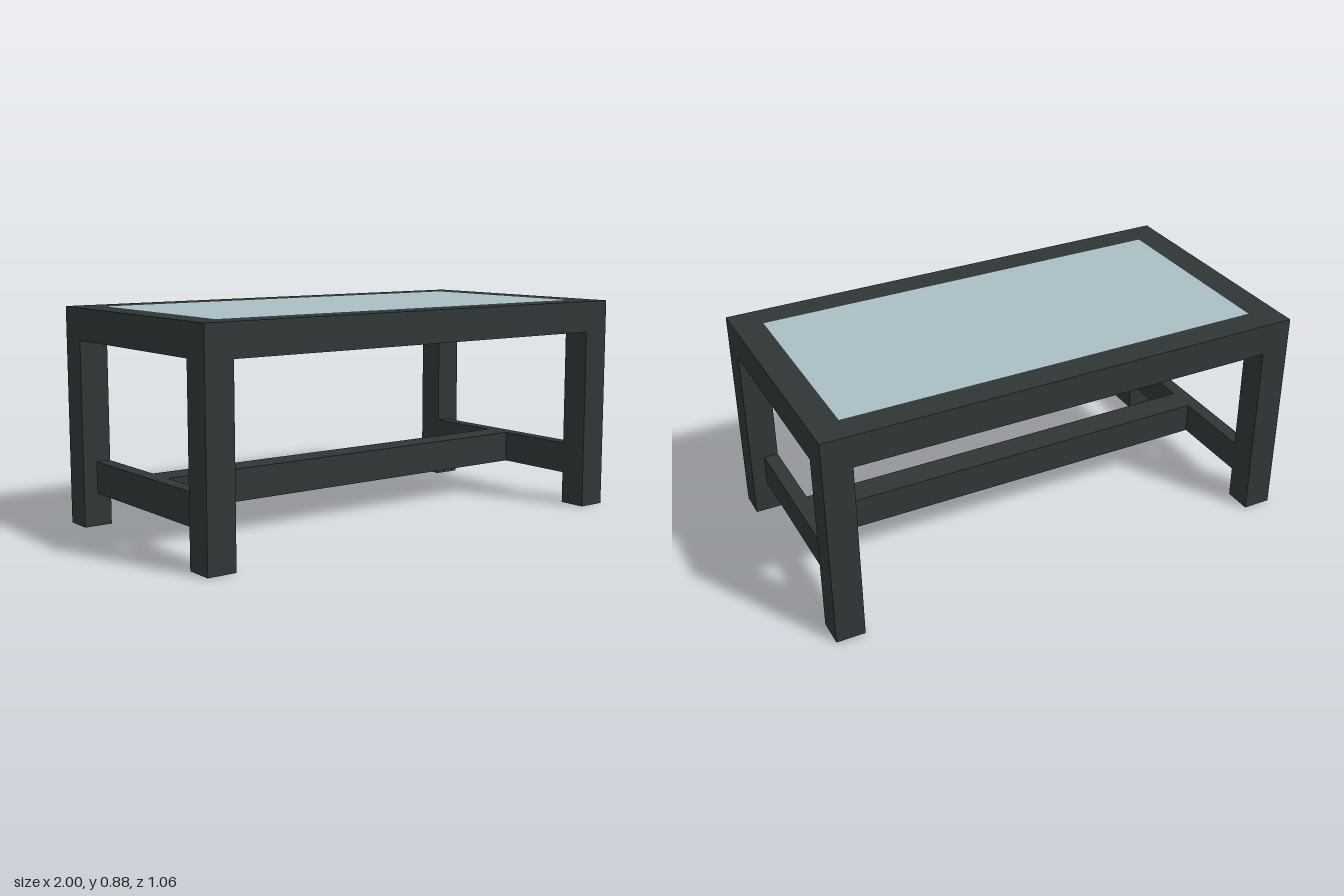
import * as THREE from 'three';

const W = 2, D = 1.06, H = 0.885; // overall size
const POST = 0.118;               // leg and rail width
const RAIL = 0.13;                // rail and stretcher height

export function createModel() {
  const model = new THREE.Group();
  model.name = 'coffeeTable';
  const frameMat = new THREE.MeshStandardMaterial({ color: 0x2e3635 });
  frameMat.name = 'darkFrame';
  const glassMat = new THREE.MeshStandardMaterial({ color: 0xaabec3 });
  glassMat.name = 'paleGlass';

  const box = (name, mat, w, h, d, x, y, z) => {
    const mesh = new THREE.Mesh(new THREE.BoxGeometry(w, h, d), mat);
    mesh.name = name;
    mesh.position.set(x, y, z);
    model.add(mesh);
  };

  // Top frame: a rectangular ring with an opening for the glass
  const innerX = W / 2 - POST, innerZ = D / 2 - POST;
  const rectangle = (shape, x, z) =>
    shape.moveTo(-x, -z).lineTo(x, -z).lineTo(x, z).lineTo(-x, z).closePath();
  const ring = rectangle(new THREE.Shape(), W / 2, D / 2);
  ring.holes.push(rectangle(new THREE.Path(), innerX, innerZ));
  const ringGeo = new THREE.ExtrudeGeometry(ring, { depth: RAIL, bevelEnabled: false });
  ringGeo.rotateX(-Math.PI / 2);
  const topFrame = new THREE.Mesh(ringGeo, frameMat);
  topFrame.name = 'topFrame';
  topFrame.position.y = H - RAIL;
  model.add(topFrame);

  // Glass panel, flush with the top
  box('glassPanel', glassMat, innerX * 2, 0.012, innerZ * 2, 0, H - 0.006, 0);

  const legHeight = H - RAIL, stretcherY = 0.198;
  for (const [side, sx] of [['left', 1], ['right', -1]]) {
    // Legs at the corners
    for (const [end, sz] of [['Front', 1], ['Back', -1]]) {
      box(`${side}${end}Leg`, frameMat, POST, legHeight, POST,
        sx * (W - POST) / 2, legHeight / 2, sz * (D - POST) / 2);
    }
    // Side stretcher, flush with the inner faces of the legs
    box(`${side}Stretcher`, frameMat, POST / 2, RAIL, innerZ * 2,
      sx * (innerX + POST / 4), stretcherY, 0);
  }

  // Long stretcher down the middle
  box('centreStretcher', frameMat, innerX * 2, RAIL, POST, 0, stretcherY, 0);

  return model;
}
